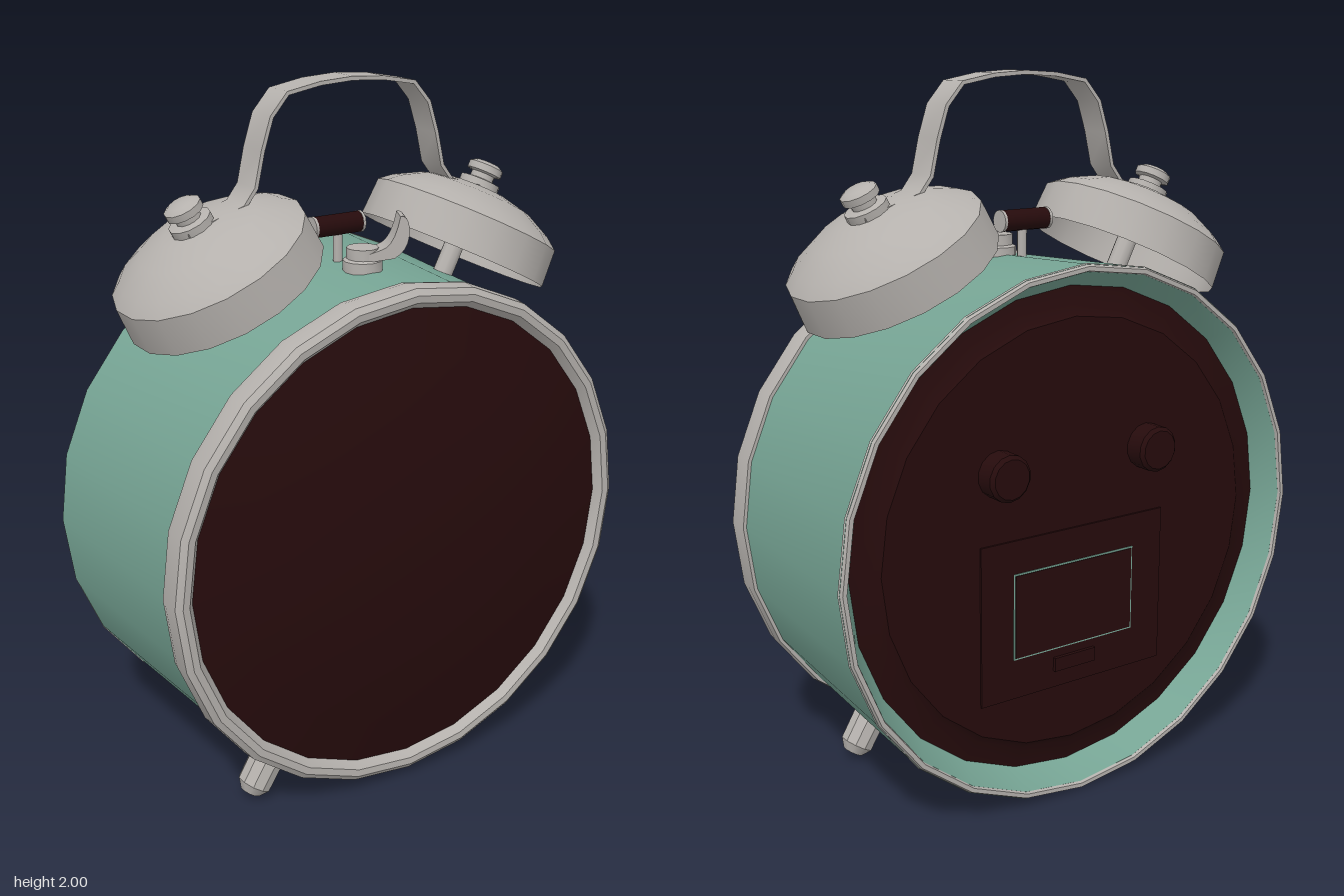
import * as THREE from 'three';
import { toCreasedNormals } from 'three/addons/utils/BufferGeometryUtils.js';

const material = (name, color, side = THREE.FrontSide) => {
  const m = new THREE.MeshStandardMaterial({ color, side });
  m.name = name;
  return m;
};

export function createModel() {
  const clock = new THREE.Group();
  clock.name = 'alarmClock';
  const green = material('sage green', 0x76a494);
  const metal = material('warm grey metal', 0xb5b1ad, THREE.DoubleSide);
  const dark = material('dark maroon', 0x260b0c);
  const CY = 0.76; // height of the case centre
  const BZ = -0.035; // depth of the bells and handle

  const add = (parent, name, geometry, mat, x = 0, y = 0, z = 0) => {
    const mesh = new THREE.Mesh(geometry, mat);
    mesh.name = name;
    mesh.position.set(x, y, z);
    parent.add(mesh);
    return mesh;
  };
  const lathe = (profile, segments) => toCreasedNormals(
    new THREE.LatheGeometry(profile.map(([r, h]) => new THREE.Vector2(r, h)), segments), 0.6);
  // Turned part whose axis runs along z
  const turned = (profile, segments = 24) => lathe(profile, segments).rotateX(Math.PI / 2);

  // Case, bezel, front glass and recessed back
  add(clock, 'caseShell', turned([
    [0.69, -0.29], [0.735, -0.362], [0.755, -0.362], [0.722, 0.25], [0.66, 0.25],
  ]), green, 0, CY);
  add(clock, 'backRim', turned([
    [0.733, -0.355], [0.738, -0.371], [0.75, -0.371], [0.757, -0.356],
  ]), metal, 0, CY);
  add(clock, 'frontBezel', turned([
    [0.7, 0.245], [0.732, 0.245], [0.737, 0.27], [0.732, 0.315], [0.715, 0.327], [0.695, 0.325], [0.675, 0.3],
  ]), metal, 0, CY);
  add(clock, 'frontGlass', turned([
    [0.685, 0.3], [0.55, 0.328], [0.42, 0.352], [0.27, 0.37], [0.12, 0.378], [0, 0.38],
  ]), dark, 0, CY);
  add(clock, 'backPlate', turned([
    [0, -0.315], [0.61, -0.315], [0.63, -0.3], [0.7, -0.29],
  ]), dark, 0, CY);

  // Battery door with a thin gap around it
  const door = new THREE.Group();
  door.name = 'batteryDoor';
  door.position.set(0, 0.55, -0.317);
  clock.add(door);
  add(door, 'doorSurround', new THREE.BoxGeometry(0.62, 0.46, 0.008), dark);
  add(door, 'doorGap', new THREE.BoxGeometry(0.41, 0.25, 0.006), green, 0, 0.01, -0.003);
  add(door, 'doorPanel', new THREE.BoxGeometry(0.4, 0.24, 0.009), dark, 0, 0.01, -0.004);
  add(door, 'doorLatch', new THREE.BoxGeometry(0.14, 0.04, 0.02), dark, 0, -0.16, -0.004);

  for (const side of [-1, 1]) {
    const label = side > 0 ? 'left' : 'right';

    // Winding knob on the back
    add(clock, label + 'BackKnob', turned([
      [0, -0.38], [0.055, -0.38], [0.065, -0.37], [0.065, -0.31],
    ], 14), dark, side * 0.25, 0.975);

    // Tilted bell with its post and nut
    const bell = new THREE.Group();
    bell.name = label + 'Bell';
    bell.position.set(side * 0.375, 1.47, BZ);
    bell.rotation.z = -side * 0.47;
    clock.add(bell);
    add(bell, 'bellDome', lathe([
      [0.286, 0], [0.28, 0.108], [0.245, 0.136], [0.17, 0.175], [0.09, 0.195], [0, 0.2],
    ], 18), metal);
    add(bell, 'bellPost', new THREE.CylinderGeometry(0.03, 0.03, 0.31, 10), metal, 0, 0.03);
    add(bell, 'bellNut', lathe([
      [0.06, 0.195], [0.06, 0.218], [0.035, 0.222], [0.035, 0.238],
      [0.052, 0.242], [0.052, 0.262], [0.035, 0.272], [0, 0.274],
    ], 12), metal);

    // Front foot, pointing away from the case centre
    const foot = new THREE.Group();
    foot.name = label + 'Foot';
    foot.position.set(0, CY, 0.165);
    foot.rotation.z = side * 0.552;
    clock.add(foot);
    add(foot, 'footPeg', lathe([
      [0, -0.862], [0.03, -0.862], [0.05, -0.835], [0.052, -0.69],
    ], 10), metal);
  }

  // Carrying handle: a bent flat strip
  const half = [[0.5, 1.635], [0.43, 1.66], [0.335, 1.69], [0.3, 1.735], [0.278, 1.83],
    [0.25, 1.915], [0.2, 1.972], [0.1, 1.99]];
  const path = [...half.map(([x, y]) => [-x, y]), [0, 1.996], ...half.slice().reverse()];
  const offset = (d) => path.map(([x, y], i) => {
    const a = path[Math.max(i - 1, 0)];
    const b = path[Math.min(i + 1, path.length - 1)];
    const length = Math.hypot(b[0] - a[0], b[1] - a[1]);
    return new THREE.Vector2(x - d * (b[1] - a[1]) / length, y + d * (b[0] - a[0]) / length);
  });
  const strip = new THREE.Shape([...offset(0.005), ...offset(-0.006).reverse()]);
  add(clock, 'handle', toCreasedNormals(
    new THREE.ExtrudeGeometry(strip, { depth: 0.095, bevelEnabled: false }), 0.7),
  metal, 0, 0, BZ - 0.0475);

  // Hammer between the bells
  const hammer = new THREE.Group();
  hammer.name = 'hammer';
  clock.add(hammer);
  add(hammer, 'hammerBase', lathe([
    [0.055, 1.48], [0.055, 1.515], [0.045, 1.52], [0.045, 1.55], [0, 1.552],
  ], 12), metal, 0, 0, 0.06);
  add(hammer, 'hammerStem', new THREE.CylinderGeometry(0.014, 0.014, 0.14, 8), metal, -0.02, 1.53, BZ);
  add(hammer, 'hammerHead', new THREE.CylinderGeometry(0.03, 0.03, 0.145, 12).rotateZ(Math.PI / 2),
    dark, -0.025, 1.597, BZ);
  for (const end of [-1, 1]) {
    add(hammer, 'hammerCap', new THREE.CylinderGeometry(0.031, 0.031, 0.008, 12).rotateZ(Math.PI / 2),
      metal, -0.025 + end * 0.076, 1.597, BZ);
  }

  // Upturned lever plate beside the hammer
  const lever = new THREE.Shape();
  lever.moveTo(0, 1.515);
  lever.lineTo(0.08, 1.525);
  lever.quadraticCurveTo(0.125, 1.55, 0.12, 1.61);
  lever.quadraticCurveTo(0.115, 1.645, 0.095, 1.64);
  lever.quadraticCurveTo(0.08, 1.56, 0.045, 1.55);
  lever.lineTo(0, 1.535);
  const plate = add(hammer, 'leverPlate', toCreasedNormals(
    new THREE.ExtrudeGeometry(lever, { depth: 0.075, bevelEnabled: false, curveSegments: 5 })
      .translate(0, 0, -0.0375), 0.7), metal, 0, 0, 0.065);
  plate.rotation.y = -0.45;

  return clock;
}
